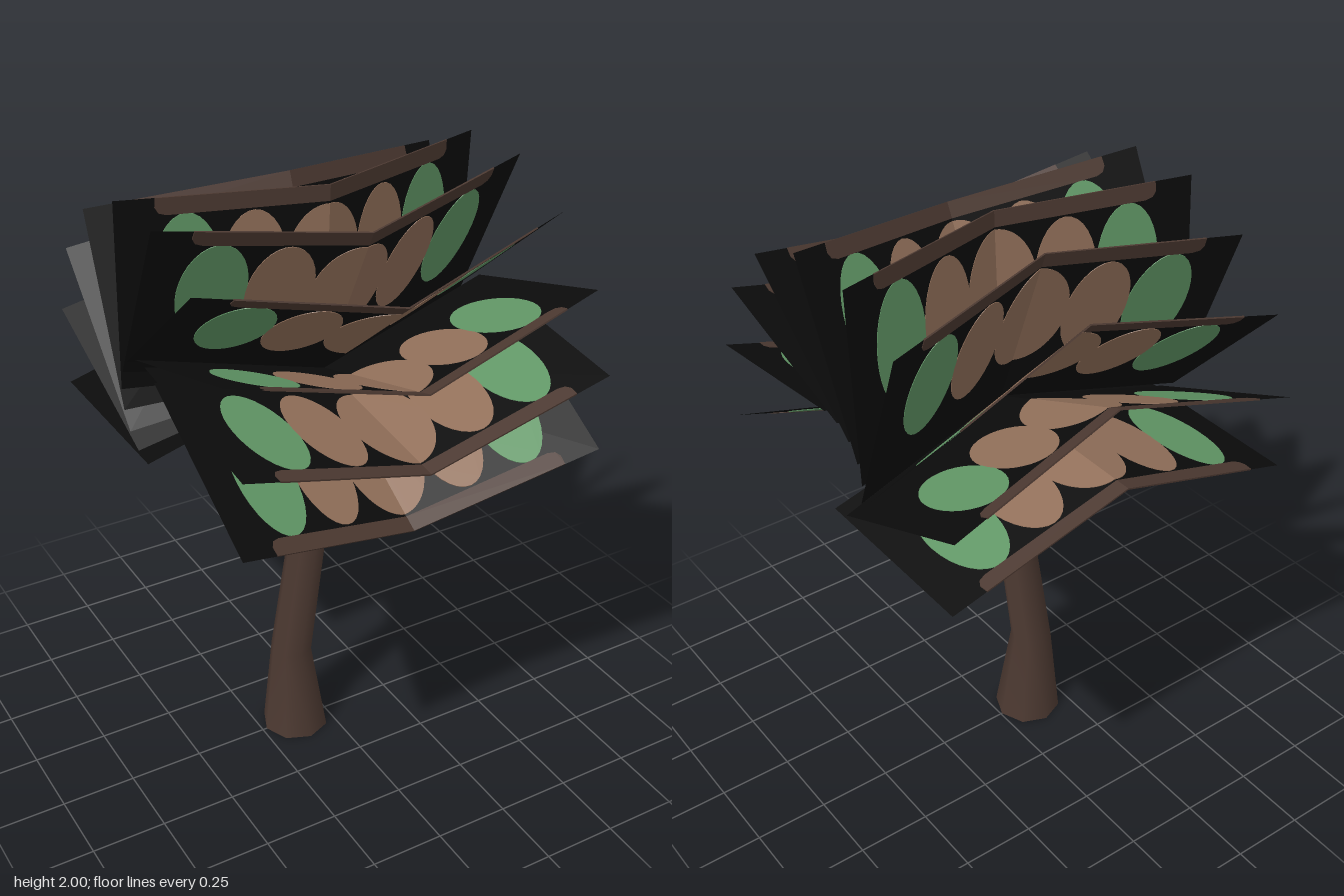
import * as THREE from 'three';
import { mergeGeometries } from 'three/addons/utils/BufferGeometryUtils.js';

const HALF = 0.617, LENGTH = 0.62, FOLD = 0.17, PIVOT = 1.372;
const LEAVES = 10, PLATE = 0.004;

const material = (name, color, side = THREE.FrontSide) =>
  Object.assign(new THREE.MeshStandardMaterial({ color, side }), { name });

// Outline of an ellipse in (across, along) coordinates, from angle a to b
function ellipse(cx, cy, rx, ry, a = 0, b = Math.PI * 2) {
  const points = [];
  for (let i = 0; i <= 32; i++) {
    const t = a + (b - a) * i / 32;
    if (i === 32 && b - a > 6) break;
    points.push([cx + rx * Math.cos(t), cy + ry * Math.sin(t)]);
  }
  return points;
}

// Lays outlines on both halves of the V-folded leaf; depth 0 gives a bare sheet
function folded(outlines, depth) {
  const parts = [];
  for (const side of [1, -1]) {
    for (const outline of outlines) {
      const shape = new THREE.Shape(outline.map(([x, y]) => new THREE.Vector2(side * x, y)));
      const g = depth
        ? new THREE.ExtrudeGeometry(shape, { depth, bevelEnabled: false })
        : new THREE.ShapeGeometry(shape);
      g.translate(0, 0, -depth / 2);
      g.rotateX(Math.PI / 2);
      const p = g.attributes.position;
      for (let i = 0; i < p.count; i++) {
        p.setY(i, p.getY(i) + Math.abs(p.getX(i)) * FOLD / HALF);
      }
      g.computeVertexNormals();
      parts.push(g);
    }
  }
  return mergeGeometries(parts);
}

export function createModel() {
  const model = new THREE.Group();
  model.name = 'foldedLeafTree';

  const bark = material('darkBrown', 0x4c3931, THREE.DoubleSide);
  const black = material('black', 0x0b0b0b, THREE.DoubleSide);
  const tan = material('tan', 0x92705a);
  const green = material('green', 0x619766);

  // Trunk: rows of radius, height and sideways lean
  const rows = [[0.115, 0, -0.12], [0.071, 0.33, -0.132], [0.063, 0.86, -0.052], [0.014, 1.375, 0]];
  const trunkGeometry = new THREE.LatheGeometry(rows.map(([r, y]) => new THREE.Vector2(r, y)), 8);
  const p = trunkGeometry.attributes.position;
  for (let i = 0; i < p.count; i++) p.setX(i, p.getX(i) + rows[i % rows.length][2]);
  const trunk = new THREE.Mesh(trunkGeometry, bark);
  trunk.name = 'trunk';
  model.add(trunk);

  // Leaf pieces, shared by all leaves
  const pieces = [
    ['leafSheet', black, folded([[[0, 0], [HALF, 0], [HALF, LENGTH], [0, LENGTH]]], 0)],
    ['tanSpots', tan, folded([
      ellipse(0, 0.365, 0.127, 0.195, -Math.PI / 2, Math.PI / 2),
      ellipse(0.217, 0.365, 0.099, 0.195),
    ], PLATE)],
    ['greenSpots', green, folded([ellipse(0.413, 0.367, 0.1, 0.2)], PLATE)],
    ['tipBand', bark, folded([
      [[0, 0.568], [0.47, 0.565], [0.492, 0.572], [0.502, 0.59], [0.5, LENGTH], [0, LENGTH]],
    ], PLATE * 1.3)],
  ];

  // Crown: leaves fanned about the trunk tip from front to back
  const crown = new THREE.Group();
  crown.name = 'crown';
  crown.position.y = PIVOT;
  for (let i = 0; i < LEAVES; i++) {
    const leaf = new THREE.Group();
    leaf.name = `leaf${i + 1}`;
    leaf.rotation.x = -THREE.MathUtils.degToRad(-30 + 210 * i / (LEAVES - 1));
    for (const [name, mat, geometry] of pieces) {
      const mesh = new THREE.Mesh(geometry, mat);
      mesh.name = name;
      leaf.add(mesh);
    }
    crown.add(leaf);
  }
  model.add(crown);
  return model;
}
